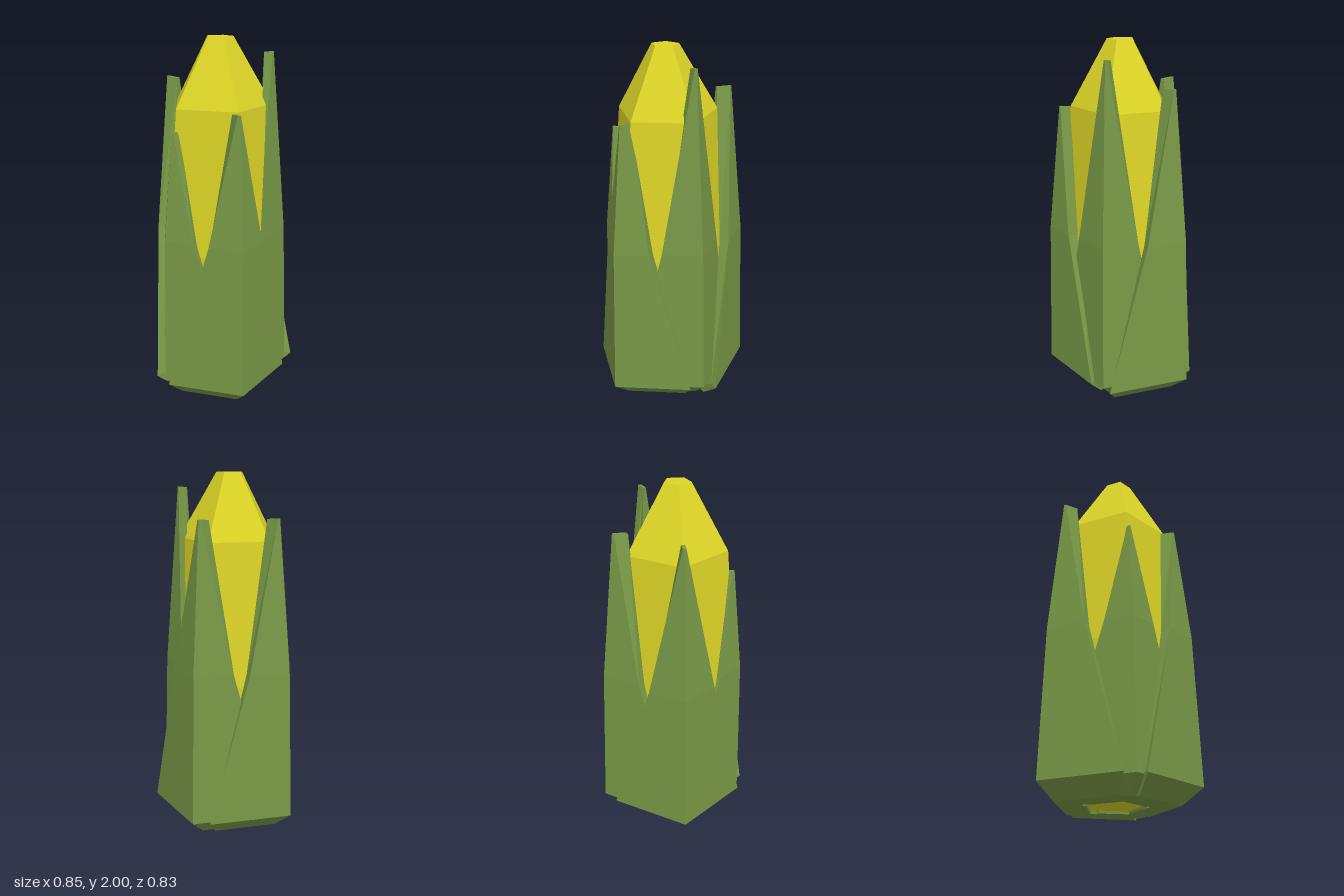
import * as THREE from 'three';

const green = new THREE.MeshStandardMaterial({ color: 0x789846 });
green.name = 'husk green';
const yellow = new THREE.MeshStandardMaterial({ color: 0xdcd426 });
yellow.name = 'kernel yellow';

// Joins closed rings (counter-clockwise seen from above) into a faceted, capped solid.
function loft(rings) {
  const pos = [];
  const quad = (a, b, c, d) => pos.push(...a, ...b, ...c, ...a, ...c, ...d);
  const n = rings[0].length;
  for (let k = 0; k < rings.length - 1; k++) {
    for (let i = 0; i < n; i++) {
      const j = (i + 1) % n;
      quad(rings[k][i], rings[k][j], rings[k + 1][j], rings[k + 1][i]);
    }
  }
  const first = rings[0], last = rings[rings.length - 1];
  for (let i = 0; i < n / 2 - 1; i++) {
    const q = [i, i + 1, n - 2 - i, n - 1 - i];
    quad(...q.map((v) => last[v]));
    quad(...q.slice().reverse().map((v) => first[v]));
  }
  const geo = new THREE.BufferGeometry();
  geo.setAttribute('position', new THREE.Float32BufferAttribute(pos, 3));
  geo.computeVertexNormals();
  return geo;
}

// Five-sided ring with one corner pointing to the back.
function pentagon(y, r, cx, cz) {
  return Array.from({ length: 5 }, (_, i) => {
    const a = Math.PI + (i * 2 * Math.PI) / 5;
    return [cx + r * Math.sin(a), y, cz + r * Math.cos(a)];
  });
}

// A folded leaf: a ridge with a wing on each side, both wings tapering to the tip.
// All points are [x, z]; left and right are the wing ends at the widest level.
function leafGeometry({ ridge, left, right, tip, tipIn, height }) {
  const centre = [0.01, 0.02];
  const low = 0.09, mid = 0.93;
  const shrink = ([x, z], s) => [centre[0] + (x - centre[0]) * s, centre[1] + (z - centre[1]) * s];
  const mix = (a, b, t) => [a[0] + (b[0] - a[0]) * t, a[1] + (b[1] - a[1]) * t];

  const row = (y, yIn, outRidge, span, wingScale, inner) => {
    const wing = (end) => [
      outRidge[0] + (end[0] - ridge[0]) * span * wingScale,
      outRidge[1] + (end[1] - ridge[1]) * span * wingScale,
    ];
    const outer = [wing(left), outRidge, wing(right)];
    const inside = outer.map(inner).reverse();
    return [...outer.map(([x, z]) => [x, y, z]), ...inside.map(([x, z]) => [x, yIn, z])];
  };

  const midSpan = 1 - (mid - low) / (height - low);
  const tipShift = [tipIn[0] - tip[0], tipIn[1] - tip[1]];
  return loft([
    row(0, 0.025, shrink(ridge, 0.42), 1, 0.42, (p) => shrink(p, 0.97)),
    row(0, 0.03, shrink(ridge, 0.75), 1, 0.75, (p) => shrink(p, 0.92)),
    row(low, low + 0.01, ridge, 1, 1, (p) => shrink(p, 0.91)),
    row(mid, mid, mix(ridge, tip, 0.25), midSpan, 0.96, (p) => shrink(p, 0.85)),
    row(height, height - 0.005, tip, 0.025, 1, (p) => [p[0] + tipShift[0], p[1] + tipShift[1]]),
  ]);
}

const leaves = [
  { name: 'frontLeftLeaf', ridge: [0.265, 0.415], left: [-0.17, 0.415], right: [0.4, 0],
    tip: [0.21, 0.335], tipIn: [0.165, 0.275], height: 1.635 },
  { name: 'leftLeaf', ridge: [0.395, -0.08], left: [0.27, 0.33], right: [0.09, -0.32],
    tip: [0.295, -0.045], tipIn: [0.25, -0.035], height: 1.92 },
  { name: 'backLeaf', ridge: [0.04, -0.42], left: [0.42, -0.145], right: [-0.33, -0.13],
    tip: [0.04, -0.31], tipIn: [0.03, -0.235], height: 1.765 },
  { name: 'rightLeaf', ridge: [-0.425, -0.1], left: [-0.05, -0.385], right: [-0.265, 0.345],
    tip: [-0.32, -0.07], tipIn: [-0.25, -0.045], height: 1.765 },
  { name: 'frontRightLeaf', ridge: [-0.205, 0.375], left: [-0.35, -0.03], right: [0.2, 0.375],
    tip: [-0.165, 0.31], tipIn: [-0.14, 0.27], height: 1.525 },
];

export function createModel() {
  const model = new THREE.Group();
  model.name = 'cornCob';
  const add = (name, geometry, material) => {
    const mesh = new THREE.Mesh(geometry, material);
    mesh.name = name;
    model.add(mesh);
  };

  // Cob
  add('cob', loft([
    pentagon(0.015, 0.2, 0.01, 0.02),
    pentagon(0.12, 0.32, 0.01, 0.025),
    pentagon(0.85, 0.355, 0.015, 0.04),
    pentagon(1.64, 0.285, 0.018, 0.043),
    pentagon(2, 0.076, 0.02, 0.052),
  ]), yellow);

  // Husk
  for (const leaf of leaves) add(leaf.name, leafGeometry(leaf), green);
  return model;
}
